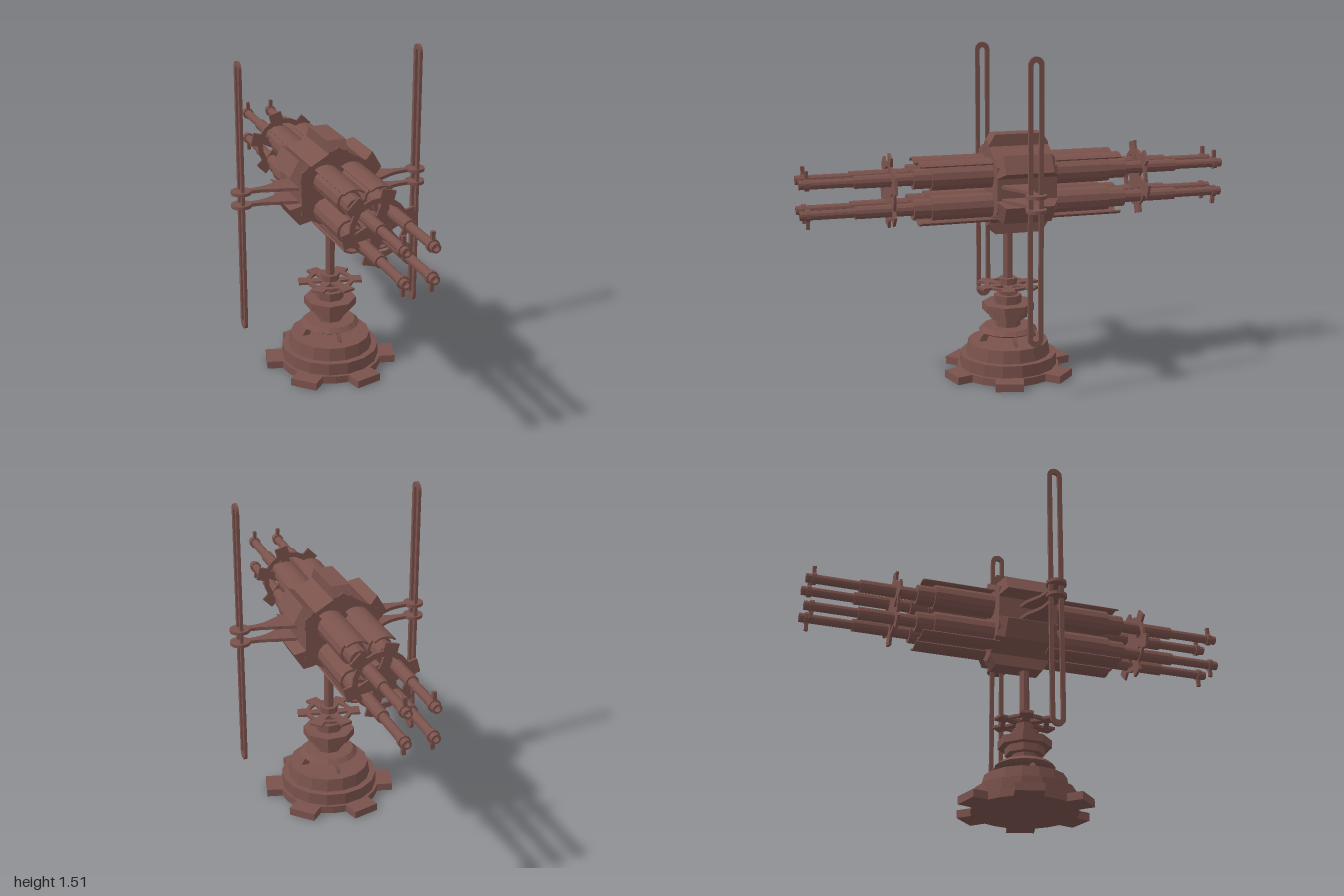
import * as THREE from 'three';

const mat = new THREE.MeshStandardMaterial({ color: 0x7a524c, flatShading: true, side: THREE.DoubleSide });
const V = (x, y) => new THREE.Vector2(x, y);

function add(parent, name, geo, x = 0, y = 0, z = 0) {
  const m = new THREE.Mesh(geo, mat);
  m.name = name;
  m.position.set(x, y, z);
  parent.add(m);
  return m;
}

// extrusion centred on its thickness
function plate(shape, t, curveSegments = 8) {
  return new THREE.ExtrudeGeometry(shape, { depth: t, bevelEnabled: false, curveSegments }).translate(0, 0, -t / 2);
}

// six-toothed outline: root circle, square teeth
function gearShape(root, outer, half, phase) {
  const pts = [];
  const a0 = Math.asin(half / root);
  for (let k = 0; k < 6; k++) {
    const a = phase + k * Math.PI / 3;
    const c = Math.cos(a), s = Math.sin(a);
    const r0 = root * Math.cos(a0);
    for (const [r, w] of [[r0, -half], [outer, -half], [outer, half], [r0, half]])
      pts.push(V(r * c - w * s, r * s + w * c));
    pts.push(V(root * Math.cos(a + Math.PI / 6), root * Math.sin(a + Math.PI / 6)));
  }
  return new THREE.Shape(pts);
}

// spoked gear wheel with six slanted openings
function spokedGear(root, outer, half, phase, t) {
  const s = gearShape(root, outer, half, phase);
  for (let k = 0; k < 6; k++) {
    const a = phase + k * Math.PI / 3;
    const p = (r, d) => V(r * Math.cos(a + d), r * Math.sin(a + d));
    s.holes.push(new THREE.Path([p(root * 0.42, 0.5), p(root * 0.82, 0.2), p(root * 0.82, 0.55), p(root * 0.82, 0.9)]));
  }
  return plate(s, t);
}

// stadium outline used for the racks and their slots
function stadium(path, w, y0, y1) {
  const r = w / 2;
  path.moveTo(r, y0 + r);
  path.lineTo(r, y1 - r);
  path.absarc(0, y1 - r, r, 0, Math.PI, false);
  path.lineTo(-r, y0 + r);
  path.absarc(0, y0 + r, r, Math.PI, Math.PI * 2, false);
  return path;
}

function buildStand() {
  const g = new THREE.Group();
  g.name = 'stand';
  g.position.z = 0.04;

  add(g, 'baseGear', plate(gearShape(0.24, 0.305, 0.064, -Math.PI / 12), 0.036).rotateX(-Math.PI / 2), 0, 0.02, 0);
  add(g, 'baseDome', new THREE.LatheGeometry([
    V(0, 0.03), V(0.228, 0.03), V(0.228, 0.095), V(0.198, 0.095), V(0.188, 0.155), V(0, 0.155)], 16));

  // four thin curved blades between dome and upper plate
  const blade = new THREE.Shape();
  blade.moveTo(0.14, 0.15);
  blade.quadraticCurveTo(0.135, 0.19, 0.09, 0.205);
  blade.lineTo(0.06, 0.205);
  blade.quadraticCurveTo(0.1, 0.19, 0.105, 0.15);
  for (let k = 0; k < 4; k++)
    add(g, 'supportBlade', plate(blade, 0.01)).rotation.y = k * Math.PI / 2;

  add(g, 'upperPlate', new THREE.LatheGeometry([
    V(0, 0.198), V(0.125, 0.198), V(0.138, 0.206), V(0.118, 0.225), V(0, 0.225)], 16));

  // stacked octagonal collars and the post: [name, radius, bottom, top]
  for (const [name, r, y0, y1] of [
    ['neck', 0.06, 0.22, 0.27], ['lowerCollar', 0.09, 0.265, 0.3], ['wideCollar', 0.122, 0.3, 0.336],
    ['middleCollar', 0.065, 0.336, 0.375], ['topCollar', 0.042, 0.375, 0.455], ['post', 0.022, 0.45, 0.76]])
    add(g, name, new THREE.CylinderGeometry(r, r, y1 - y0, 8).rotateY(Math.PI / 8), 0, (y0 + y1) / 2, 0);

  add(g, 'handwheel', spokedGear(0.11, 0.148, 0.03, -Math.PI / 12, 0.012).rotateX(-Math.PI / 2), 0, 0.42, 0);
  return g;
}

function buildHub() {
  const g = new THREE.Group();
  g.name = 'hub';
  g.position.y = 0.905;
  add(g, 'hubBody', new THREE.CylinderGeometry(0.202, 0.202, 0.28, 6).rotateX(Math.PI / 2));
  const profile = new THREE.Shape([
    V(-0.14, 0.15), V(0.14, 0.15), V(0.14, 0.185), V(0.112, 0.23), V(-0.112, 0.23), V(-0.14, 0.185)]);
  const tooth = plate(profile, 0.09).rotateY(Math.PI / 2);
  for (let k = 0; k < 6; k++) add(g, 'hubTooth', tooth).rotation.z = k * Math.PI / 3;
  return g;
}

// one barrel along +z; up is +1 or -1, the side its sight and cover face
function buildBarrel(up) {
  const g = new THREE.Group();
  g.name = 'barrel';
  add(g, 'barrelTube', new THREE.LatheGeometry([
    V(0, 0.1), V(0.057, 0.1), V(0.057, 0.42), V(0.046, 0.42), V(0.046, 0.5), V(0.029, 0.5),
    V(0.029, 0.76), V(0.021, 0.76), V(0.021, 1), V(0.013, 1), V(0.013, 0.93), V(0, 0.93)], 12).rotateX(Math.PI / 2));
  add(g, 'muzzleRing', new THREE.CylinderGeometry(0.028, 0.028, 0.02, 10).rotateX(Math.PI / 2), 0, 0, 0.965);
  add(g, 'sightPeg', new THREE.BoxGeometry(0.016, 0.045, 0.016), 0, up * 0.038, 0.965);

  // thin curved cover
  const mid = up * Math.PI / 2, h = 0.7;
  const s = new THREE.Shape();
  s.absarc(0, 0, 0.078, mid - h, mid + h, false);
  s.absarc(0, 0, 0.07, mid + h, mid - h, true);
  add(g, 'barrelCover', plate(s, 0.36), 0, 0, 0.295);
  return g;
}

// barrels and the gear plate for one end
function buildGunEnd() {
  const g = new THREE.Group();
  for (const sx of [-1, 1]) for (const sy of [-1, 1]) {
    const b = buildBarrel(sy);
    b.position.set(sx * 0.0625, 0.888 + sy * 0.068, 0);
    g.add(b);
  }
  add(g, 'barrelSpacerGear', spokedGear(0.135, 0.17, 0.032, Math.PI / 12, 0.012), 0, 0.897, 0.592);
  return g;
}

// slotted vertical rack held by two flat arms, built at +x
function buildRackSide() {
  const g = new THREE.Group();
  const rack = stadium(new THREE.Shape(), 0.068, 0.25, 1.515);
  rack.holes.push(stadium(new THREE.Path(), 0.028, 0.275, 1.49));
  add(g, 'slottedRack', plate(rack, 0.014).rotateY(Math.PI / 2), 0.425, 0, 0.042);

  const arm = new THREE.Shape();
  arm.moveTo(0.15, -0.085);
  arm.lineTo(0.2, -0.075);
  arm.bezierCurveTo(0.27, -0.06, 0.27, -0.015, 0.385, -0.015);
  arm.absarc(0.425, 0, 0.046, Math.PI + 0.33, Math.PI * 3 - 0.33, false);
  arm.bezierCurveTo(0.3, 0.015, 0.29, 0.04, 0.24, 0.04);
  arm.lineTo(0.15, 0.07);
  for (const y of [0.858, 0.92])
    add(g, 'rackArm', plate(arm, 0.015).rotateX(-Math.PI / 2), 0.0, y, 0.04);
  return g;
}

export function createModel() {
  const root = new THREE.Group();
  root.name = 'rotaryTurret';
  root.add(buildStand(), buildHub());

  for (const s of [0, 1]) {
    const end = buildGunEnd();
    end.name = s ? 'rearBarrels' : 'frontBarrels';
    end.rotation.y = s * Math.PI;
    const side = buildRackSide();
    side.name = s ? 'rightRack' : 'leftRack';
    // half turn about the rack plane's centre line
    side.rotation.y = s * Math.PI;
    side.position.z = s * 0.082;
    root.add(end, side);
  }
  return root;
}
